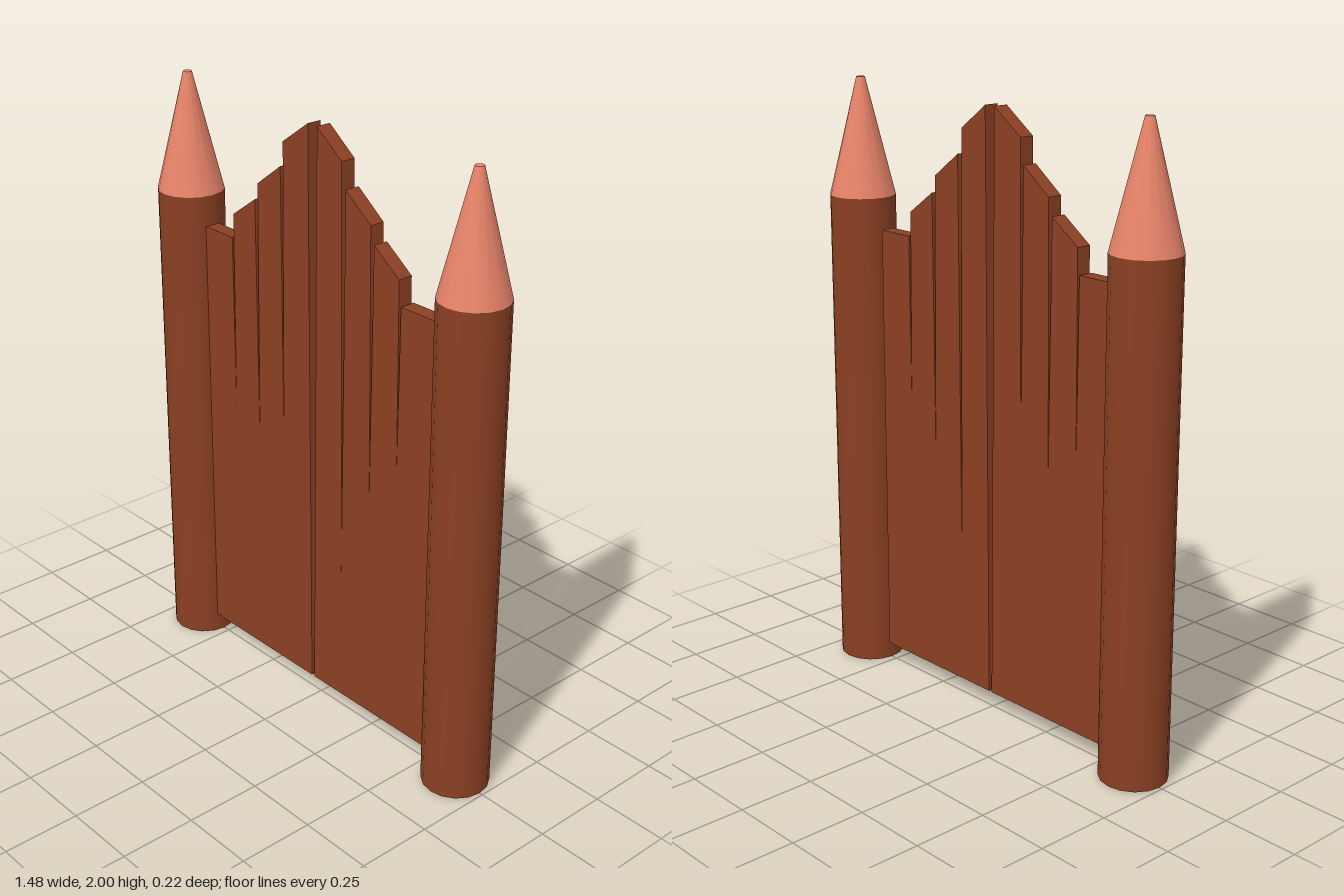
import * as THREE from 'three';

const wood = new THREE.MeshStandardMaterial({ color: 0x8b4023, side: THREE.DoubleSide });
const tipPaint = new THREE.MeshStandardMaterial({ color: 0xe9846a, side: THREE.DoubleSide });

const BOTTOM = 0.065, THICKNESS = 0.05;

// One gate leaf: planks separated by narrow tapering slits, open at the top
function gateLeaf(name, outline) {
  const shape = new THREE.Shape(outline.map(([x, y]) => new THREE.Vector2(x, y)));
  const geometry = new THREE.ExtrudeGeometry(shape, { depth: THICKNESS, bevelEnabled: false });
  geometry.translate(0, 0, -THICKNESS / 2);
  const mesh = new THREE.Mesh(geometry, wood);
  mesh.name = name;
  return mesh;
}

// Round post, open underneath, with a blunt pointed cap
function gatePost(name, x) {
  const post = new THREE.Group();
  post.name = name;
  const shaft = new THREE.Mesh(new THREE.CylinderGeometry(0.108, 0.108, 1.62, 16, 1, true), wood);
  shaft.name = 'postShaft';
  shaft.position.y = 0.81;
  const tip = new THREE.Mesh(new THREE.CylinderGeometry(0.014, 0.108, 0.38, 16), tipPaint);
  tip.name = 'postTip';
  tip.position.y = 1.81;
  post.add(shaft, tip);
  post.position.x = x;
  return post;
}

export function createModel() {
  const gate = new THREE.Group();
  gate.name = 'gate';

  gate.add(gatePost('leftPost', 0.631), gatePost('rightPost', -0.631));

  // Outlines run from the middle of the gate to the post; low points are slit ends
  gate.add(gateLeaf('leftLeaf', [
    [-0.008, BOTTOM], [0.008, 1.97], [0.115, 1.89],
    [0.123, 0.53], [0.133, 1.81], [0.24, 1.73],
    [0.248, 0.84], [0.255, 1.675], [0.36, 1.6],
    [0.366, 0.98], [0.37, 1.52], [0.505, 1.52], [0.505, BOTTOM],
  ]));
  gate.add(gateLeaf('rightLeaf', [
    [-0.02, BOTTOM], [-0.032, 1.97], [-0.145, 1.89],
    [-0.153, 0.93], [-0.158, 1.81], [-0.265, 1.73],
    [-0.274, 0.87], [-0.28, 1.675], [-0.386, 1.6],
    [-0.392, 0.93], [-0.395, 1.52], [-0.53, 1.52], [-0.53, BOTTOM],
  ]));
  return gate;
}
